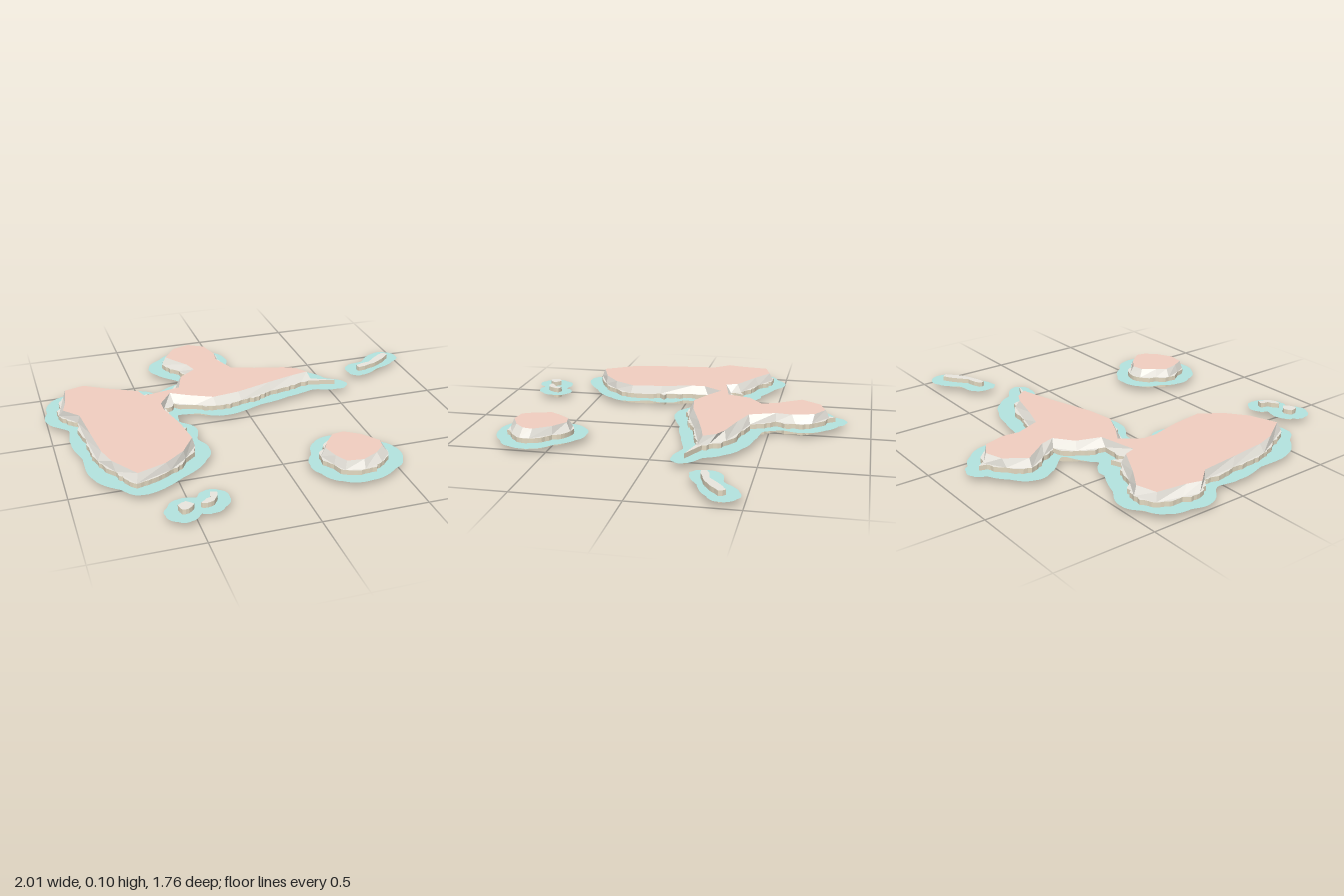
import * as THREE from 'three';

const WATER_Y = 0.03, BASE_Y = 0.054, TOP_Y = 0.096;
const mat = (color) => new THREE.MeshStandardMaterial({ color, flatShading: true, side: THREE.DoubleSide });
const sand = mat(0xe4dac2), rock = mat(0xeae7df), clay = mat(0xf2cfc1), water = mat(0xb4e4e0);

// Flat x, z pairs in hundredths -> counter-clockwise plan points (plan y = -z)
function plan(list) {
  const pts = [];
  for (let i = 0; i < list.length; i += 2) pts.push(new THREE.Vector2(list[i] / 100, -list[i + 1] / 100));
  return THREE.ShapeUtils.isClockWise(pts) ? pts.reverse() : pts;
}

// Small seeded noise
let seed = 7;
const rand = () => (seed = (seed * 16807) % 2147483647) / 2147483647;

// Breaks every edge into short steps and pushes them outwards for a ragged shore
function ragged(pts, amount) {
  const inner = [], outer = [];
  pts.forEach((a, i) => {
    const b = pts[(i + 1) % pts.length];
    const dir = b.clone().sub(a), n = Math.max(2, Math.round(dir.length() / 0.018));
    const out = new THREE.Vector2(dir.y, -dir.x).normalize();
    for (let k = 0; k < n; k++) {
      const p = a.clone().lerp(b, k / n);
      const push = k ? amount * (0.2 + 0.8 * rand()) * Math.sin(Math.PI * k / n) : 0;
      inner.push(p);
      outer.push(p.clone().addScaledVector(out, push));
    }
  });
  return { inner, outer };
}

// Draws the shore point nearest to each given tip out to it, as a thin spit of land
function pullSpits(outline, tips) {
  for (const [x, z] of tips) {
    const tip = new THREE.Vector2(x / 100, -z / 100);
    outline.reduce((a, b) => (a.distanceTo(tip) < b.distanceTo(tip) ? a : b)).copy(tip);
  }
}

// Band of quads between two closed outlines of equal count
function band(low, yLow, high, yHigh) {
  const pos = [];
  low.forEach((a, i) => {
    const j = (i + 1) % low.length, b = low[j], c = high[j], d = high[i];
    pos.push(a.x, yLow, -a.y, b.x, yLow, -b.y, c.x, yHigh, -c.y);
    pos.push(a.x, yLow, -a.y, c.x, yHigh, -c.y, d.x, yHigh, -d.y);
  });
  const g = new THREE.BufferGeometry();
  g.setAttribute('position', new THREE.Float32BufferAttribute(pos, 3));
  g.computeVertexNormals();
  return g;
}

// Horizontal sheet with optional holes
function sheet(pts, y, holes = []) {
  const shape = new THREE.Shape(pts);
  shape.holes = holes.map((h) => new THREE.Path(h));
  return new THREE.ShapeGeometry(shape).rotateX(-Math.PI / 2).translate(0, y, 0);
}

function add(group, name, geometry, material) {
  const mesh = new THREE.Mesh(geometry, material);
  mesh.name = name;
  group.add(mesh);
}

// Shallow water ring around the shore with a softly scalloped outer edge
function shallows(group, list, holes) {
  const ctrl = plan(list).map((p) => new THREE.Vector3(p.x, p.y, 0));
  const curve = new THREE.CatmullRomCurve3(ctrl, true), n = ctrl.length * 6, pts = [];
  for (let i = 0; i < n; i++) {
    const p = curve.getPoint(i / n), t = curve.getTangent(i / n);
    const bump = 0.006 * Math.abs(Math.sin(Math.PI * i / 6));
    pts.push(new THREE.Vector2(p.x + t.y * bump, p.y - t.x * bump));
  }
  add(group, 'shallowWater', sheet(pts, WATER_Y, holes), water);
}

// Island with shore wall, ledge, sloping cliff and plateau
function island(name, base, top, halo, spits = []) {
  const g = new THREE.Group();
  g.name = name;
  const foot = plan(base), rim = plan(top), { inner, outer } = ragged(foot, 0.02);
  pullSpits(outer, spits);
  add(g, 'shoreWall', band(outer, 0, outer, BASE_Y), sand);
  add(g, 'shoreLedge', band(outer, BASE_Y, inner, BASE_Y), rock);
  add(g, 'cliff', band(foot, BASE_Y, rim, TOP_Y), rock);
  add(g, 'plateau', sheet(rim, TOP_Y), clay);
  shallows(g, halo, [outer]);
  return g;
}

// Low flat islets sharing one ring of shallow water
function islets(name, bases, halo) {
  const g = new THREE.Group();
  g.name = name;
  const outlines = bases.map((b) => ragged(plan(b), 0.006).outer);
  outlines.forEach((o) => {
    add(g, 'isletWall', band(o, 0, o, BASE_Y), sand);
    add(g, 'isletTop', sheet(o, BASE_Y), rock);
  });
  shallows(g, halo, outlines);
  return g;
}

export function createModel() {
  const model = new THREE.Group();
  model.name = 'archipelago';

  // Two large lands joined by a narrow neck
  model.add(island('mainIsland',
    [-79, -44, -89, -40, -92, -28, -94, -20, -86, -10, -85, 8, -83, 30, -77, 42, -70, 55, -53, 48,
      -44, 40, -37, 30, -39, 14, -42, -2, -42, -12, -36, -16, -26, -11, -16, -7, -2, -9, 16, -15,
      35, -20, 41, -21, 38, -26, 32, -33, 16, -38, 5, -41, -2, -53, 0, -63, -2, -71, -14, -79,
      -24, -73, -31, -64, -24, -53, -20, -45, -29, -38, -34, -25, -48, -24, -51, -29, -67, -37],
    [-78, -42, -88, -39, -90, -24, -92, -17, -85, -9, -83, 11, -81, 29, -78, 39, -69, 53, -55, 48,
      -45, 40, -38, 29, -40, 13, -44, -3, -44, -10, -37, -20, -29, -15, -17, -9, -3, -11, 16, -17,
      30, -21, 39, -23, 35, -29, 29, -32, 14, -36, 2, -40, -3, -53, -2, -61, -5, -72, -13, -77,
      -22, -74, -29, -64, -20, -51, -18, -44, -27, -37, -31, -25, -50, -21, -52, -27, -67, -35],
    [-79, -51, -67, -46, -53, -40, -47, -39, -41, -34, -36, -38, -26, -44, -36, -57, -38, -67,
      -30, -76, -22, -82, -18, -87, -12, -87, -8, -84, 0, -78, 6, -67, 4, -57, 8, -48, 22, -45,
      35, -41, 45, -34, 51, -25, 59, -18, 58, -13, 52, -11, 40, -14, 24, -10, 8, -6, -14, 0,
      -26, -6, -36, -7, -37, 0, -31, 8, -33, 20, -30, 30, -34, 40, -48, 52, -69, 61, -77, 54,
      -87, 42, -89, 22, -92, 6, -91, -7, -100, -18, -99, -29, -96, -40, -88, -46],
    [[53, -17], [-15, -82], [-46, -31], [-36, 11]]));

  // Small round island
  model.add(island('roundIsland',
    [16, 57, 20, 51, 25, 44, 33, 43, 40, 50, 47, 59, 47, 64, 41, 70, 31, 74, 22, 72, 19, 66],
    [18, 57, 21, 52, 26, 46, 32, 45, 39, 50, 45, 58, 44, 63, 39, 68, 31, 72, 23, 71, 20, 65],
    [10, 59, 14, 50, 19, 40, 30, 36, 39, 39, 47, 47, 54, 55, 53, 67, 46, 74, 32, 80, 19, 77, 12, 68]));

  // Long bar and a pair of rocks
  model.add(islets('barIslet',
    [[72, -31, 80, -33, 92, -42, 94, -39, 83, -31, 72, -28]],
    [66, -28, 68, -36, 78, -39, 88, -47, 96, -47, 100, -40, 95, -34, 83, -28, 72, -23, 68, -24]));
  model.add(islets('twinIslets',
    [[-57, 77, -53, 75, -50, 78, -53, 81, -56, 81],
      [-47, 78, -42, 75, -41, 71, -38, 72, -41, 78, -46, 79]],
    [-63, 80, -61, 74, -55, 69, -47, 70, -43, 66, -36, 67, -33, 74, -37, 81, -43, 84, -48, 83,
      -53, 87, -59, 86]));
  return model;
}
